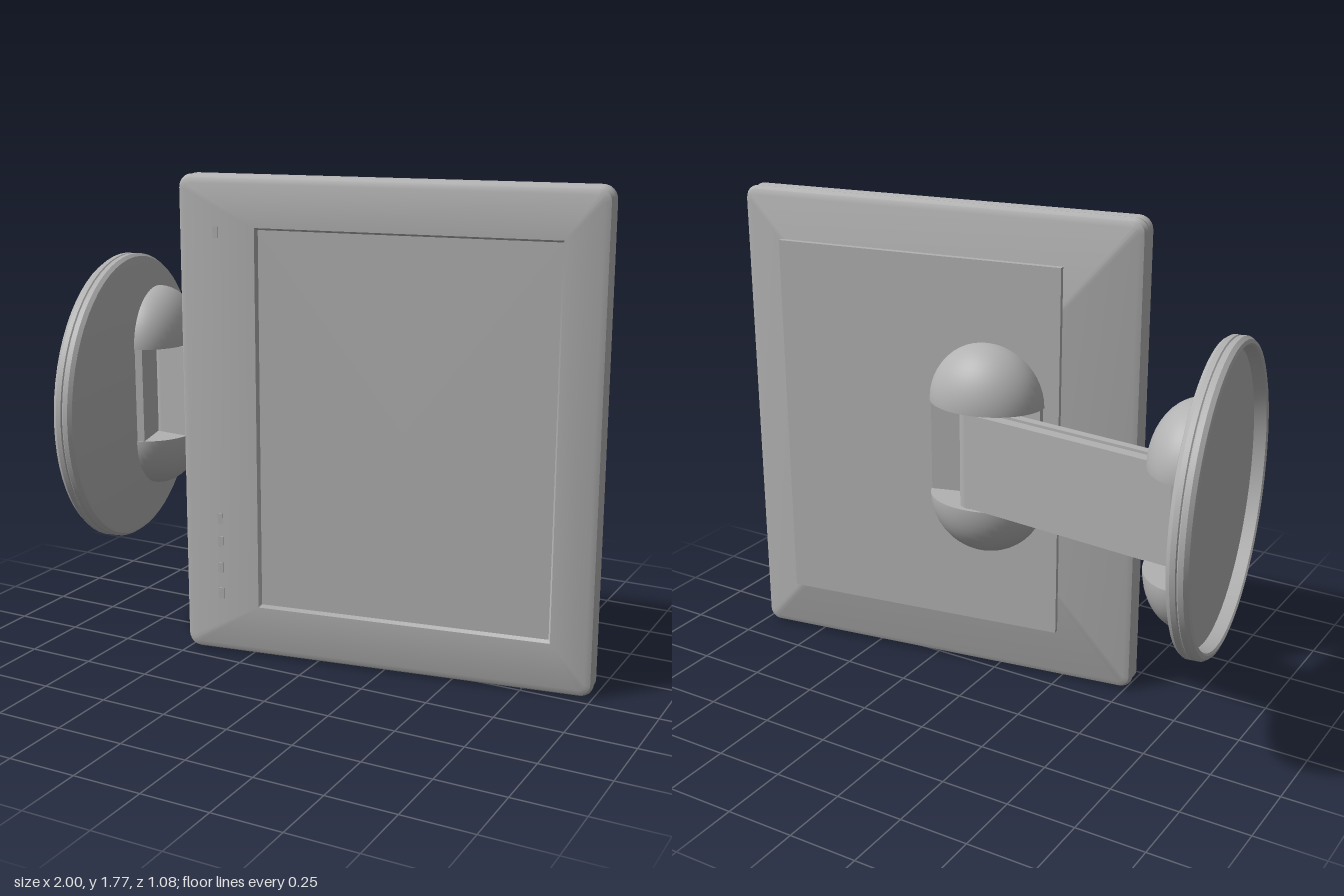
import * as THREE from 'three';
import { toCreasedNormals } from 'three/addons/utils/BufferGeometryUtils.js';

const grey = new THREE.MeshStandardMaterial({ color: 0xb2b2b2 });
grey.name = 'grey';

function add(parent, name, geometry, x = 0, y = 0, z = 0) {
  const mesh = new THREE.Mesh(geometry, grey);
  mesh.name = name;
  mesh.position.set(x, y, z);
  parent.add(mesh);
  return mesh;
}

// Rounded rectangle outline at height z, counterclockwise
function ring(cx, cy, w, h, r, z) {
  const points = [];
  const signs = [[1, 1], [-1, 1], [-1, -1], [1, -1]];
  signs.forEach(([sx, sy], q) => {
    for (let k = 0; k <= 6; k++) {
      const a = (q + k / 6) * Math.PI / 2;
      points.push([cx + sx * (w / 2 - r) + r * Math.cos(a), cy + sy * (h / 2 - r) + r * Math.sin(a), z]);
    }
  });
  return points;
}

// Skin a stack of equal-length rings
function loft(rings) {
  const n = rings[0].length, index = [];
  for (let i = 0; i < rings.length - 1; i++) {
    for (let j = 0; j < n; j++) {
      const a = i * n + j, b = i * n + (j + 1) % n;
      index.push(a, b, b + n, a, b + n, a + n);
    }
  }
  const g = new THREE.BufferGeometry();
  g.setAttribute('position', new THREE.Float32BufferAttribute(rings.flat(2), 3));
  g.setIndex(index);
  return toCreasedNormals(g, 0.6);
}

// Hinge pod: two quarter domes either side of a notch, facing +z
function makePod(name, height) {
  const pod = new THREE.Group();
  pod.name = name;
  const R = 0.215, half = 0.18;
  for (const side of [1, -1]) {
    const dome = new THREE.SphereGeometry(R, 24, 12, 0, Math.PI, 0, Math.PI / 2);
    const cap = new THREE.ShapeGeometry(new THREE.Shape().absarc(0, 0, R, 0, Math.PI), 24);
    cap.rotateX(Math.PI / 2);
    for (const [part, g] of [['dome', dome], ['domeInnerFace', cap]]) {
      g.scale(1, 1, height / R);
      if (side < 0) g.rotateZ(Math.PI);
      add(pod, part, g, 0, side * half, 0);
    }
  }
  // Shallow V floor of the notch
  const v = new THREE.Shape([[-0.21, 0], [0.21, 0], [0.21, 0.03], [0, 0.004], [-0.21, 0.03]]
    .map(([x, y]) => new THREE.Vector2(x, y)));
  const floor = new THREE.ExtrudeGeometry(v, { depth: 2 * half, bevelEnabled: false });
  floor.rotateX(Math.PI / 2);
  add(pod, 'notchFloor', floor, 0, half, 0);
  return pod;
}

function makePanel() {
  const panel = new THREE.Group();
  panel.name = 'displayPanel';
  const W = 1.53, H = 1.77, cx = 0.068, cy = 0.005, w = 1.085, h = 1.4;
  // Rounded edge with a seam groove: [z, inset]
  const edge = [[-0.05, 0.03], [-0.042, 0.01], [-0.025, 0], [-0.008, 0.003], [0, 0.01],
    [0.008, 0.003], [0.025, 0], [0.042, 0.01], [0.05, 0.03]];
  const rings = [
    ring(0, 0, 0, 0, 0, -0.05),
    ...edge.map(([z, d]) => ring(0, 0, W - 2 * d, H - 2 * d, 0.05 - d, z)),
    // Recessed screen
    ring(cx, cy, w, h, 0.002, 0.05),
    ring(cx, cy, w - 0.016, h - 0.016, 0.002, 0.034),
    ring(cx, cy, 0, 0, 0, 0.034),
  ];
  add(panel, 'panelBody', loft(rings));

  // Raised plate on the back
  add(panel, 'backPlate', new THREE.BoxGeometry(1.09, 1.39, 0.03), 0.07, 0.005, -0.056);

  // Small buttons beside the screen
  for (const y of [0.52, 0.43, 0.33, 0.23, 1.57]) {
    add(panel, 'button', new THREE.BoxGeometry(0.02, 0.04, 0.006), -0.62, y - 0.885, 0.05);
  }
  const pod = makePod('panelPod', 0.175);
  pod.position.set(-0.206, 0.01, -0.07);
  pod.rotation.y = Math.PI;
  panel.add(pod);
  return panel;
}

function makeBase() {
  const base = new THREE.Group();
  base.name = 'wallBase';
  // Round dish, hollow on its outer side
  const profile = [[0, 0.01], [0.508, 0.01], [0.515, -0.034], [0.522, -0.04], [0.535, -0.036],
    [0.545, -0.022], [0.545, -0.004], [0.541, 0], [0.545, 0.004], [0.545, 0.022],
    [0.535, 0.036], [0.522, 0.04], [0, 0.04]];
  const dish = new THREE.LatheGeometry(profile.map(([r, y]) => new THREE.Vector2(r, y)), 64);
  dish.rotateX(Math.PI / 2);
  add(base, 'dish', toCreasedNormals(dish, 0.6));
  const pod = makePod('basePod', 0.16);
  pod.position.set(0.18, 0.005, 0.04);
  base.add(pod);
  return base;
}

function makeArm() {
  const arm = new THREE.Group();
  arm.name = 'arm';
  const L = 0.855;
  // Two cheeks around a slightly lower core
  for (const z of [-0.032, 0.032]) {
    add(arm, 'armCheek', new THREE.BoxGeometry(L, 0.355, 0.032), 0, 0, z);
  }
  add(arm, 'armCore', new THREE.BoxGeometry(L, 0.335, 0.034));
  for (const x of [-L / 2, L / 2]) {
    add(arm, 'hingePin', new THREE.CylinderGeometry(0.048, 0.048, 0.36, 24), x, 0, 0);
  }
  return arm;
}

export function createModel() {
  const model = new THREE.Group();
  model.name = 'wallMountedDisplay';
  const tilt = THREE.MathUtils.degToRad(9);

  const panel = makePanel();
  panel.position.set(0.24, 0.885, 0.035);
  panel.rotation.y = tilt;

  const base = makeBase();
  base.position.set(-0.88, 0.895, 0);
  base.rotation.y = tilt + Math.PI / 2;

  const arm = makeArm();
  arm.position.set(-0.405, 0.895, -0.151);
  arm.rotation.y = -Math.atan(0.094);

  model.add(panel, base, arm);
  return model;
}
